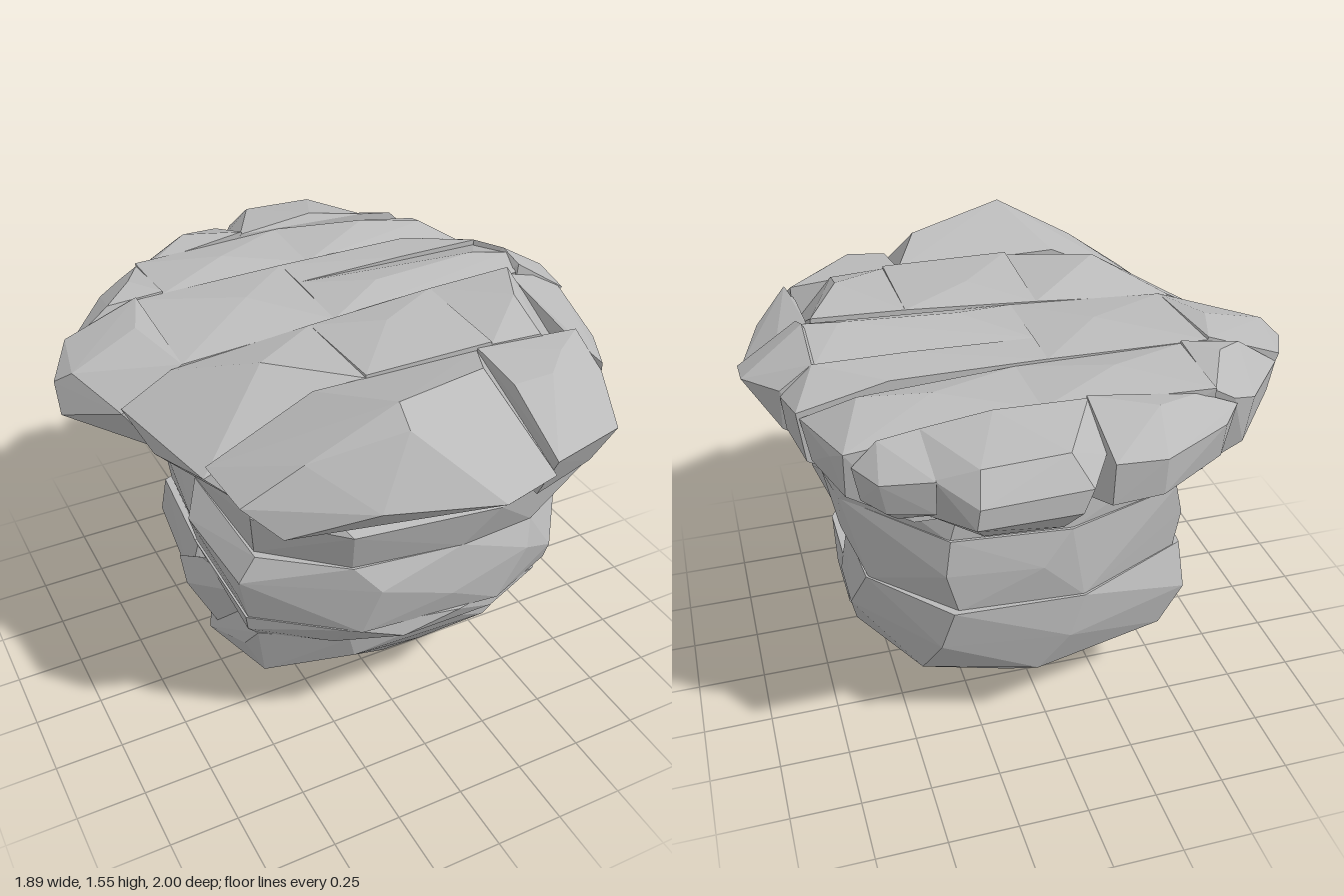
import * as THREE from 'three';
import { ConvexGeometry } from 'three/addons/geometries/ConvexGeometry.js';

export function createModel() {
  const model = new THREE.Group();
  const stone = new THREE.MeshStandardMaterial({ color: 0xbababa });
  stone.name = 'grey stone';

  const add = (name, points) => {
    const mesh = new THREE.Mesh(new ConvexGeometry(points), stone);
    mesh.name = name;
    model.add(mesh);
  };
  // A faceted block from corner points [x, y, z]
  const block = (name, ...corners) => add(name, corners.map(c => new THREE.Vector3(...c)));
  // A faceted layer from level outlines [y, [x, z], [x, z], ...]
  const layer = (name, ...rings) => add(name, rings.flatMap(([y, ...pts]) =>
    pts.map(([x, z]) => new THREE.Vector3(x, y, z))));

  // Trunk, from the bottom up
  block('bottomPoint', [0.18, 0, 0.1], [-0.14, 0.16, 0.2], [0.4, 0.16, 0.05], [0.3, 0.16, 0.32],
    [0.05, 0.16, 0.35], [0.0, 0.16, 0.0], [0.36, 0.09, 0.04], [0.22, 0.06, 0.01]);
  layer('lowerFrontLayer',
    [0.15, [-0.33, 0.0], [-0.3, 0.22], [0.02, 0.38], [0.3, 0.34], [0.42, 0.0]],
    [0.19, [-0.48, 0.0], [-0.42, 0.25], [0.57, 0.0], [0.52, 0.25]],
    [0.29, [-0.57, 0.1], [-0.48, 0.4], [0.1, 0.51], [0.45, 0.45], [0.64, 0.0]],
    [0.42, [-0.54, 0.37], [-0.22, 0.6], [0.3, 0.62], [0.66, 0.1], [0.57, 0.47]],
    [0.525, [-0.5, 0.0], [-0.52, 0.45], [-0.25, 0.62], [0.1, 0.67], [0.46, 0.6], [0.65, 0.25], [0.65, 0.0]]);
  layer('lowerBackBlock',
    [0.09, [0.36, 0.0], [0.25, -0.03]],
    [0.17, [-0.2, -0.08], [-0.22, -0.32], [0.12, -0.41], [0.42, -0.25]],
    [0.29, [-0.52, 0.0], [-0.46, -0.44], [0.05, -0.56], [0.45, -0.44], [0.6, 0.0], [0.63, -0.1]],
    [0.46, [-0.6, 0.0], [-0.54, -0.46], [-0.05, -0.61], [0.4, -0.55], [0.66, -0.21], [0.66, 0.0]],
    [0.63, [-0.57, 0.03], [-0.53, -0.41], [-0.1, -0.61], [0.36, -0.59], [0.61, -0.3], [0.63, 0.0]]);
  block('rightLowerWedge', [-0.63, 0.49, 0.05], [-0.58, 0.63, 0.1], [-0.55, 0.34, 0.15], [-0.52, 0.63, 0.35],
    [-0.5, 0.4, 0.28], [-0.6, 0.5, -0.1], [-0.45, 0.5, 0]);
  layer('thinFrontLayer',
    [0.52, [-0.52, 0.0], [-0.52, 0.44], [-0.3, 0.6], [0.1, 0.66], [0.47, 0.59], [0.62, 0.25], [0.62, 0.0]],
    [0.57, [-0.56, 0.46], [-0.1, 0.73], [0.25, 0.73], [0.62, 0.38]],
    [0.635, [-0.57, 0.0], [-0.57, 0.47], [-0.3, 0.68], [0.1, 0.76], [0.45, 0.69], [0.62, 0.35], [0.62, 0.0]]);
  layer('middleFrontLayer',
    [0.63, [-0.56, 0.0], [-0.56, 0.47], [-0.25, 0.71], [0.25, 0.76], [0.52, 0.65], [0.62, 0.35], [0.62, 0.0]],
    [0.73, [-0.59, 0.46], [0.06, 0.77], [0.5, 0.7], [0.7, 0.32]],
    [0.82, [-0.62, 0.1], [-0.6, 0.5], [-0.2, 0.75], [0.35, 0.77], [0.7, 0.4]],
    [0.91, [-0.55, 0.0], [-0.54, 0.5], [-0.28, 0.7], [0.1, 0.75], [0.38, 0.73], [0.7, 0.43], [0.7, 0.0]]);
  layer('middleBackLayer',
    [0.625, [-0.55, 0.03], [-0.5, -0.42], [-0.1, -0.6], [0.34, -0.57], [0.6, -0.3], [0.63, 0.02]],
    [0.78, [-0.59, 0.03], [-0.52, -0.43], [0.05, -0.61], [0.38, -0.57], [0.67, -0.18]],
    [0.915, [-0.54, 0.03], [-0.48, -0.46], [-0.05, -0.6], [0.36, -0.56], [0.67, -0.2], [0.7, 0.02]]);
  layer('upperLayer',
    [0.908, [-0.53, 0.47], [-0.28, 0.69], [0.1, 0.75], [0.38, 0.73], [0.7, 0.43], [0.7, 0.0], [0.67, -0.2],
      [0.36, -0.55], [-0.05, -0.59], [-0.47, -0.46], [-0.55, -0.05]],
    [1.07, [-0.55, 0.5], [-0.3, 0.74], [0.2, 0.81], [0.65, 0.69], [0.7, 0.5], [0.7, -0.1], [0.62, -0.3],
      [0.32, -0.56], [-0.1, -0.58], [-0.47, -0.48], [-0.55, 0.0]],
    [1.3, [-0.5, 0.4], [0.6, 0.6], [0.69, 0.45], [0.69, -0.15], [0.35, -0.5], [-0.4, -0.5], [-0.55, 0.0]]);

  // Cap, front row
  block('capFrontRight', [-0.17, 1.55, 0.76], [-0.17, 1.49, 0.83], [0.2, 1.5, 0.64], [0.3, 1.44, 0.45], [-0.3, 1.45, 0.45],
    [-0.67, 1.28, 0.45], [-0.65, 1.26, 0.67], [-0.46, 1.39, 0.72], [-0.55, 1.17, 0.76], [-0.3, 1.28, 0.91],
    [0.08, 1.25, 1.0], [0.315, 1.23, 0.92], [-0.56, 1.08, 0.45], [-0.48, 1.07, 0.6], [-0.1, 1.07, 0.73],
    [0.335, 1.07, 0.78], [0.335, 1.07, 0.45]);
  block('capFrontLeft', [0.3, 1.45, 0.45], [0.31, 1.42, 0.66], [0.45, 1.43, 0.67], [0.56, 1.43, 0.56], [0.7, 1.42, 0.45],
    [0.71, 1.33, 0.6], [0.65, 1.23, 0.79], [0.315, 1.28, 0.92], [0.34, 1.07, 0.8], [0.61, 1.07, 0.72],
    [0.7, 1.12, 0.6], [0.7, 1.07, 0.45], [0.33, 1.07, 0.45]);

  // Cap, second row
  block('capSecondRight', [-0.8, 1.3, 0.05], [-0.68, 1.24, 0.455], [-0.4, 1.49, 0.28], [-0.115, 1.44, 0.05], [-0.115, 1.45, 0.455],
    [-0.62, 1.4, 0.05], [-0.75, 1.2, 0.2], [-0.55, 1.1, 0.05], [-0.55, 1.1, 0.455], [-0.115, 1.1, 0.05], [-0.115, 1.1, 0.455]);
  block('capSecondMiddle', [-0.115, 1.44, 0.05], [0.1, 1.48, 0.2], [0.355, 1.47, 0.05], [0.355, 1.46, 0.455], [-0.115, 1.46, 0.455],
    [-0.115, 1.1, 0.05], [0.355, 1.1, 0.05], [0.355, 1.1, 0.455], [-0.115, 1.1, 0.455]);
  block('capSecondLeft', [0.355, 1.47, 0.05], [0.355, 1.45, 0.455], [0.56, 1.5, 0.27], [0.68, 1.48, 0.05], [0.55, 1.44, 0.455],
    [0.71, 1.26, 0.455], [0.355, 1.08, 0.05], [0.355, 1.08, 0.455], [0.71, 1.07, 0.05], [0.7, 1.07, 0.455]);
  block('capSideFront', [0.71, 1.36, 0.6], [0.84, 1.32, 0.38], [0.92, 1.35, 0.05], [0.9, 1.27, 0.05], [0.8, 1.42, 0.05],
    [0.69, 1.45, 0.05], [0.69, 1.39, 0.4], [0.87, 1.28, 0.25], [0.78, 1.2, 0.25], [0.7, 1.2, 0.08], [0.71, 1.29, 0.6], [0.65, 1.25, 0.1]);
  block('capSideBack', [0.72, 1.51, -0.04], [0.72, 1.46, -0.235], [0.83, 1.38, -0.235], [0.94, 1.37, -0.1], [0.94, 1.34, 0.05],
    [0.73, 1.48, 0.05], [0.91, 1.28, 0.0], [0.83, 1.22, -0.2], [0.7, 1.15, -0.235], [0.7, 1.17, 0.05], [0.6, 1.3, -0.1]);

  // Cap, third row
  block('capThirdRightEnd', [-0.85, 1.35, -0.39], [-0.95, 1.31, -0.2], [-0.9, 1.36, -0.14], [-0.95, 1.2, -0.16], [-0.8, 1.28, 0.05],
    [-0.58, 1.45, -0.39], [-0.65, 1.44, -0.2], [-0.58, 1.41, 0.05], [-0.82, 1.12, -0.2], [-0.78, 1.14, -0.39],
    [-0.7, 1.12, 0.05], [-0.5, 1.1, -0.39], [-0.5, 1.1, 0.05]);
  block('capThirdMiddle', [-0.58, 1.44, -0.39], [-0.58, 1.41, 0.05], [-0.25, 1.47, -0.18], [-0.02, 1.45, -0.39], [-0.02, 1.44, 0.05],
    [-0.58, 1.1, -0.39], [-0.58, 1.1, 0.05], [-0.02, 1.1, -0.39], [-0.02, 1.1, 0.05]);
  block('capThirdLeft', [-0.02, 1.45, -0.235], [-0.02, 1.44, 0.05], [0.2, 1.49, -0.06], [0.6, 1.51, -0.06], [0.72, 1.5, -0.02],
    [0.72, 1.44, -0.235], [0.72, 1.45, 0.05], [-0.02, 1.1, -0.235], [-0.02, 1.1, 0.05], [0.68, 1.1, -0.235], [0.7, 1.1, 0.05]);
  block('capThirdLeftStrip', [-0.02, 1.45, -0.39], [-0.02, 1.45, -0.235], [0.4, 1.46, -0.235], [0.5, 1.45, -0.39], [0.72, 1.46, -0.235],
    [0.83, 1.36, -0.235], [0.8, 1.38, -0.39], [0.82, 1.24, -0.235], [0.78, 1.2, -0.39], [0.68, 1.11, -0.235], [0.6, 1.1, -0.39],
    [-0.02, 1.1, -0.235], [-0.02, 1.1, -0.39]);

  // Cap, fourth row
  block('capFourthRight', [-0.84, 1.32, -0.39], [-0.82, 1.21, -0.39], [-0.64, 1.35, -0.64], [-0.57, 1.46, -0.5], [-0.55, 1.38, -0.68],
    [-0.48, 1.42, -0.68], [-0.48, 1.45, -0.39], [-0.68, 1.43, -0.41], [-0.62, 1.18, -0.63], [-0.66, 1.12, -0.41],
    [-0.48, 1.1, -0.62], [-0.48, 1.1, -0.39]);
  block('capFourthMiddle', [-0.48, 1.43, -0.685], [-0.48, 1.44, -0.39], [-0.2, 1.47, -0.52], [0.09, 1.45, -0.685], [0.09, 1.44, -0.39],
    [-0.48, 1.1, -0.64], [-0.48, 1.08, -0.39], [0.09, 1.1, -0.685], [0.09, 1.08, -0.39]);
  block('capFourthLeft', [0.09, 1.45, -0.685], [0.09, 1.44, -0.39], [0.4, 1.48, -0.55], [0.62, 1.46, -0.48], [0.7, 1.38, -0.67],
    [0.73, 1.34, -0.6], [0.79, 1.36, -0.39], [0.77, 1.24, -0.45], [0.7, 1.22, -0.65], [0.6, 1.11, -0.39], [0.5, 1.11, -0.685],
    [0.09, 1.1, -0.685], [0.09, 1.08, -0.39]);

  // Cap, back row
  block('capBackRight', [-0.56, 1.36, -0.68], [-0.49, 1.34, -0.76], [-0.22, 1.37, -0.94], [-0.055, 1.38, -0.94], [-0.25, 1.46, -0.78],
    [-0.05, 1.47, -0.68], [-0.42, 1.42, -0.68], [-0.5, 1.2, -0.72], [-0.22, 1.24, -0.93], [-0.055, 1.23, -0.93],
    [-0.35, 1.12, -0.68], [-0.05, 1.12, -0.7]);
  block('capBackMiddle', [-0.055, 1.37, -0.86], [0.03, 1.35, -1.0], [0.37, 1.34, -1.0], [0.38, 1.27, -1.0], [0.06, 1.27, -1.0],
    [0.08, 1.44, -0.93], [0.35, 1.43, -0.93], [0.47, 1.37, -0.86], [0.25, 1.48, -0.7], [-0.055, 1.46, -0.68], [0.47, 1.44, -0.68],
    [0.1, 1.19, -0.94], [0.34, 1.19, -0.92], [-0.04, 1.12, -0.68], [0.45, 1.12, -0.68]);
  block('capBackLeft', [0.465, 1.37, -0.87], [0.62, 1.34, -0.8], [0.68, 1.34, -0.68], [0.47, 1.44, -0.68], [0.6, 1.42, -0.68],
    [0.465, 1.25, -0.86], [0.6, 1.23, -0.79], [0.66, 1.22, -0.68], [0.45, 1.13, -0.68], [0.55, 1.13, -0.68]);

  return model;
}
